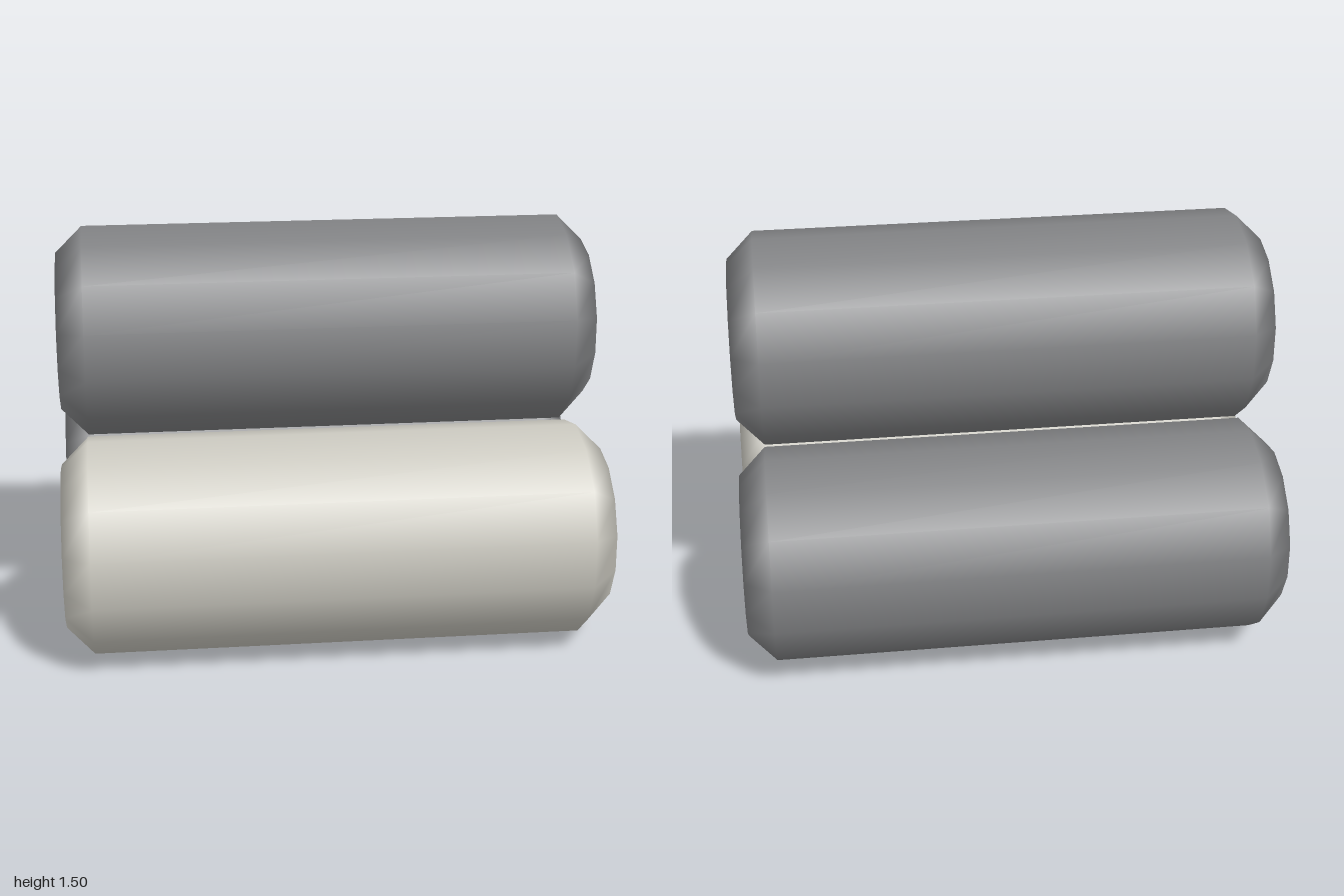
import * as THREE from 'three';

const RADIUS = 0.4, BEVEL = 0.1, SIDES = 14;

// Bevelled log lying along x, with smooth shading blended across the bevels
function logGeometry() {
  const profile = [
    [0, -1], [RADIUS - BEVEL, -1], [RADIUS, BEVEL - 1],
    [RADIUS, 1 - BEVEL], [RADIUS - BEVEL, 1], [0, 1],
  ].map(([r, y]) => new THREE.Vector2(r, y));
  const geo = new THREE.LatheGeometry(profile, SIDES, Math.PI / 2);

  // Barrel rings point outwards, cap rings point along the axis
  const pos = geo.attributes.position, nor = geo.attributes.normal;
  for (let i = 0; i < pos.count; i++) {
    const x = pos.getX(i), y = pos.getY(i), z = pos.getZ(i);
    if (Math.abs(y) > 0.99) nor.setXYZ(i, 0, Math.sign(y), 0);
    else nor.setXYZ(i, x / RADIUS, 0, z / RADIUS);
  }
  return geo.rotateZ(-Math.PI / 2);
}

export function createModel() {
  const group = new THREE.Group();
  group.name = 'logStack';

  const grey = new THREE.MeshStandardMaterial({ color: 0x808183 });
  grey.name = 'grey';
  const cream = new THREE.MeshStandardMaterial({ color: 0xcbc9c0 });
  cream.name = 'cream';

  // Two logs on the ground and one resting on top
  const geo = logGeometry();
  for (const [name, material, y, z] of [
    ['frontLog', cream, 0.4, 0.415],
    ['backLog', grey, 0.4, -0.415],
    ['topLog', grey, 1.1, -0.015],
  ]) {
    const log = new THREE.Mesh(geo, material);
    log.name = name;
    log.position.set(0, y, z);
    group.add(log);
  }
  return group;
}
